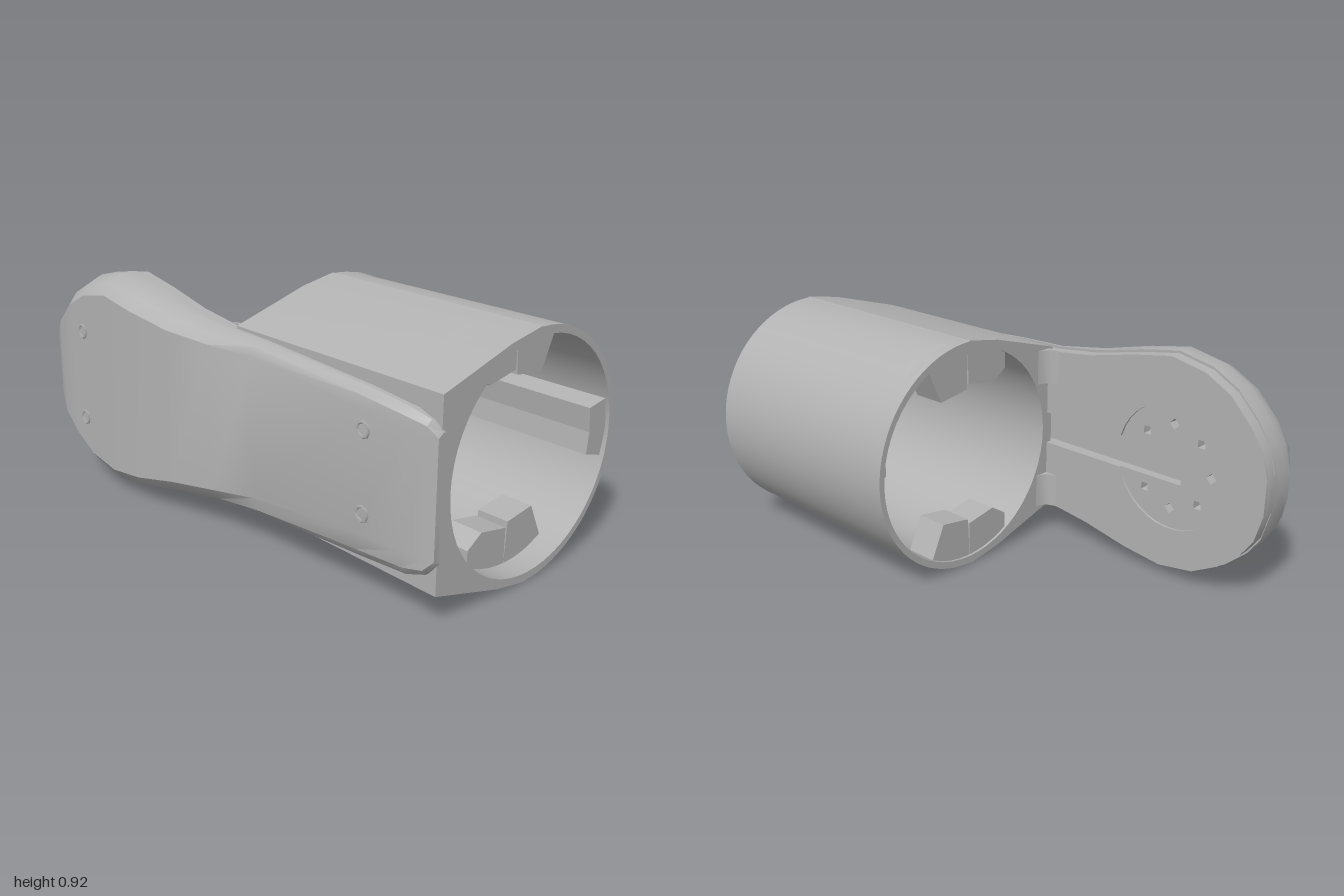
import * as THREE from 'three';
import { toCreasedNormals } from 'three/addons/utils/BufferGeometryUtils.js';

const MID = 0.462; // height of the tube axis
const V2 = (x, y) => new THREE.Vector2(x, y);

// Arm stations along x: x, bottom, top, front z, bottom bevel, top bevel
const STATIONS = [
  [-1, 0.38, 0.54, 0.5, 0.03, 0.03],
  [-0.97, 0.27, 0.64, 0.53, 0.05, 0.05],
  [-0.92, 0.2, 0.715, 0.545, 0.06, 0.06],
  [-0.83, 0.12, 0.81, 0.55, 0.07, 0.07],
  [-0.72, 0.06, 0.87, 0.55, 0.07, 0.07],
  [-0.57, 0.035, 0.9, 0.55, 0.07, 0.07],
  [-0.4, 0.055, 0.87, 0.545, 0.07, 0.07],
  [-0.2, 0.095, 0.825, 0.52, 0.07, 0.06],
  [0, 0.12, 0.8, 0.485, 0.07, 0.05],
  [0.2, 0.135, 0.795, 0.45, 0.08, 0.05],
  [0.7, 0.165, 0.765, 0.435, 0.1, 0.07],
  [0.9, 0.18, 0.745, 0.427, 0.09, 0.07],
  [0.97, 0.2, 0.72, 0.405, 0.06, 0.05],
  [1, 0.24, 0.68, 0.385, 0.04, 0.04],
];

// Cross-section of the arm at one station
function section([x, b, t, f, lowBevel, highBevel]) {
  const back = Math.min(0.39, f - 0.03);
  const m = Math.max(back + 0.01, f - 0.09);
  return [
    [b, back], [b, m], [b + lowBevel * 0.35, (m + f) / 2 + 0.01], [b + lowBevel, f],
    [t - highBevel, f], [t - highBevel * 0.35, (m + f) / 2 + 0.01], [t, m], [t, back],
  ].map(([y, z]) => new THREE.Vector3(x, y, z));
}

function loft(rings) {
  const pos = [];
  const tri = (...pts) => pts.forEach((p) => pos.push(p.x, p.y, p.z));
  const n = rings[0].length;
  for (let r = 0; r < rings.length - 1; r++) {
    for (let i = 0; i < n; i++) {
      const j = (i + 1) % n, A = rings[r], B = rings[r + 1];
      tri(A[i], B[i], B[j]);
      tri(A[i], B[j], A[j]);
    }
  }
  const first = rings[0], last = rings[rings.length - 1];
  const centre = (ring) => ring.reduce((s, p) => s.add(p), new THREE.Vector3()).divideScalar(n);
  const c0 = centre(first), c1 = centre(last);
  for (let i = 0; i < n; i++) {
    const j = (i + 1) % n;
    tri(c0, first[i], first[j]);
    tri(c1, last[j], last[i]);
  }
  const geo = new THREE.BufferGeometry();
  geo.setAttribute('position', new THREE.Float32BufferAttribute(pos, 3));
  return toCreasedNormals(geo, 0.6);
}

// Extrude a (z, y) outline along x; a hole must run the opposite way round
function alongX(points, x0, x1, hole) {
  const shape = new THREE.Shape(points.map(([z, y]) => V2(-z, y)));
  if (hole) shape.holes.push(new THREE.Path(hole.map(([z, y]) => V2(-z, y))));
  const geo = new THREE.ExtrudeGeometry(shape, { depth: x1 - x0, bevelEnabled: false });
  geo.rotateY(Math.PI / 2).translate(x0, 0, 0);
  return toCreasedNormals(geo, 0.15);
}

// One layer of the arm's back, with the given cut-outs
function backLayer(holes, z0, z1) {
  const rim = STATIONS.slice(0, -1);
  const shape = new THREE.Shape([
    ...rim.map(([x, b]) => V2(x, b + 0.01)),
    ...rim.map(([x, , t]) => V2(x, t - 0.01)).reverse(),
  ]);
  shape.holes = holes.map((pts) => new THREE.Path(pts));
  const geo = new THREE.ExtrudeGeometry(shape, { depth: z1 - z0, bevelEnabled: false });
  return toCreasedNormals(geo.translate(0, 0, z0), 0.4);
}

// Height of the housing's upper surface at depth z
function housingTop(z) {
  if (z < -0.1) return MID + Math.sqrt(0.455 ** 2 - (z + 0.1) ** 2);
  return z < 0.05 ? 0.92 - (z + 0.1) * 0.18 : 0.893 - (z - 0.05) * 0.295;
}

export function createModel() {
  const model = new THREE.Group();
  const grey = new THREE.MeshStandardMaterial({ color: 0xb2b2b2 });
  grey.name = 'plainGrey';
  const add = (name, geo) => {
    const mesh = new THREE.Mesh(geo, grey);
    mesh.name = name;
    model.add(mesh);
    return mesh;
  };

  // Paddle-shaped arm
  add('arm', loft(STATIONS.map(section)));

  // Outer back layer: shallow round recess joined to a groove
  const halfGroove = 0.065, grooveEnd = 0.3;
  const recess = [];
  const gap = Math.asin(halfGroove / 0.25);
  for (let i = 0; i <= 32; i++) {
    const a = gap + (i / 32) * (2 * Math.PI - 2 * gap);
    recess.push(V2(-0.6 + 0.25 * Math.cos(a), MID + 0.25 * Math.sin(a)));
  }
  recess.push(V2(grooveEnd, MID - halfGroove), V2(grooveEnd, MID + halfGroove));
  add('backRim', backLayer([recess], 0.34, 0.35));

  // Inner back layer: deep groove to the recess centre and a ring of small holes
  const groove = [
    V2(-0.64, MID - halfGroove), V2(grooveEnd, MID - halfGroove),
    V2(grooveEnd, MID + halfGroove), V2(-0.64, MID + halfGroove),
  ];
  const pinHoles = [];
  for (let i = 0; i < 7; i++) {
    const a = 0.75 + (i / 6) * (2 * Math.PI - 1.5);
    const x = -0.6 + 0.17 * Math.cos(a), y = MID + 0.17 * Math.sin(a);
    pinHoles.push([0, 1, 2, 3].map((k) => {
      const b = a + (k * Math.PI) / 2;
      return V2(x + 0.022 * Math.cos(b), y + 0.022 * Math.sin(b));
    }));
  }
  add('backPlate', backLayer([groove, ...pinHoles], 0.35, 0.395));

  // Tube housing: round at the back, straight flanks tapering to the arm
  const outer = [[0.365, 0.8], [0.05, 0.893], [-0.1, 0.92]];
  for (let i = 0; i <= 36; i++) {
    const a = (i / 36) * Math.PI;
    outer.push([-0.102 - 0.455 * Math.sin(a), MID + 0.455 * Math.cos(a)]);
  }
  outer.push([-0.1, 0.004], [0.05, 0.031], [0.365, 0.124]);
  const bore = [];
  for (let i = 0; i < 56; i++) {
    const a = (i / 56) * 2 * Math.PI;
    bore.push([-0.11 + 0.425 * Math.cos(a), MID - 0.425 * Math.sin(a)]);
  }
  bore.reverse();
  add('tubeHousing', alongX(outer, 0.02, 0.995, THREE.ShapeUtils.isClockWise(bore.map(([z, y]) => V2(-z, y))) ? bore.reverse() : bore));

  // Small fillets between the tube mouth and the arm
  const fillet = new THREE.Shape([V2(0.025, -0.28), V2(0.02, -0.28), V2(0.012, -0.31), V2(-0.005, -0.328), V2(-0.035, -0.34), V2(0.025, -0.345)]);
  for (const y of [0.125, 0.66]) {
    const geo = new THREE.ExtrudeGeometry(fillet, { depth: 0.138, bevelEnabled: false });
    add('mouthFillet', toCreasedNormals(geo.rotateX(-Math.PI / 2).translate(0, y, 0), 0.7));
  }

  // Screw bosses inside the tube, top and bottom, near both ends
  const bossFront = [[0.1, 0.85], [0.1, 0.77], [0.03, 0.725], [-0.1, 0.75], [-0.1, 0.895]];
  const bossBack = [[-0.1, 0.895], [-0.11, 0.73], [-0.24, 0.71], [-0.3, 0.84], [-0.22, 0.875]];
  const flip = ([z, y]) => [z, 2 * MID - y];
  for (const x of [0.09, 0.83]) {
    for (const boss of [bossFront, bossBack]) {
      add('upperBoss', alongX(boss, x - 0.06, x + 0.07));
      add('lowerBoss', alongX(boss.map(flip), x - 0.06, x + 0.07));
    }
  }

  // Rib along the back of the bore
  const rib = [[-0.43, 0.38], [-0.44, MID], [-0.43, 0.555], [-0.52, 0.57], [-0.54, MID], [-0.515, 0.355]];
  add('backRib', alongX(rib, 0.3, 0.98));

  // Oval screw seats following the outside of the housing
  for (const side of [1, -1]) {
    for (const [x, z] of [[0.82, 0.09], [0.07, -0.28]]) {
      const geo = new THREE.CircleGeometry(0.04, 24).scale(1, 2.6, 1);
      geo.rotateX((-side * Math.PI) / 2).translate(x, 0, z);
      const p = geo.attributes.position;
      for (let i = 0; i < p.count; i++) p.setY(i, MID + side * (housingTop(p.getZ(i)) + 0.004 - MID));
      geo.computeVertexNormals();
      add('screwSeat', geo);
    }
  }

  // Small screw points on the front of the arm
  for (const [x, y, z] of [[-0.74, 0.65, 0.55], [-0.76, 0.28, 0.55], [0.73, 0.63, 0.434], [0.73, 0.34, 0.434]]) {
    const point = add('screwPoint', new THREE.TorusGeometry(0.026, 0.006, 4, 8));
    point.position.set(x, y, z);
  }

  return model;
}
